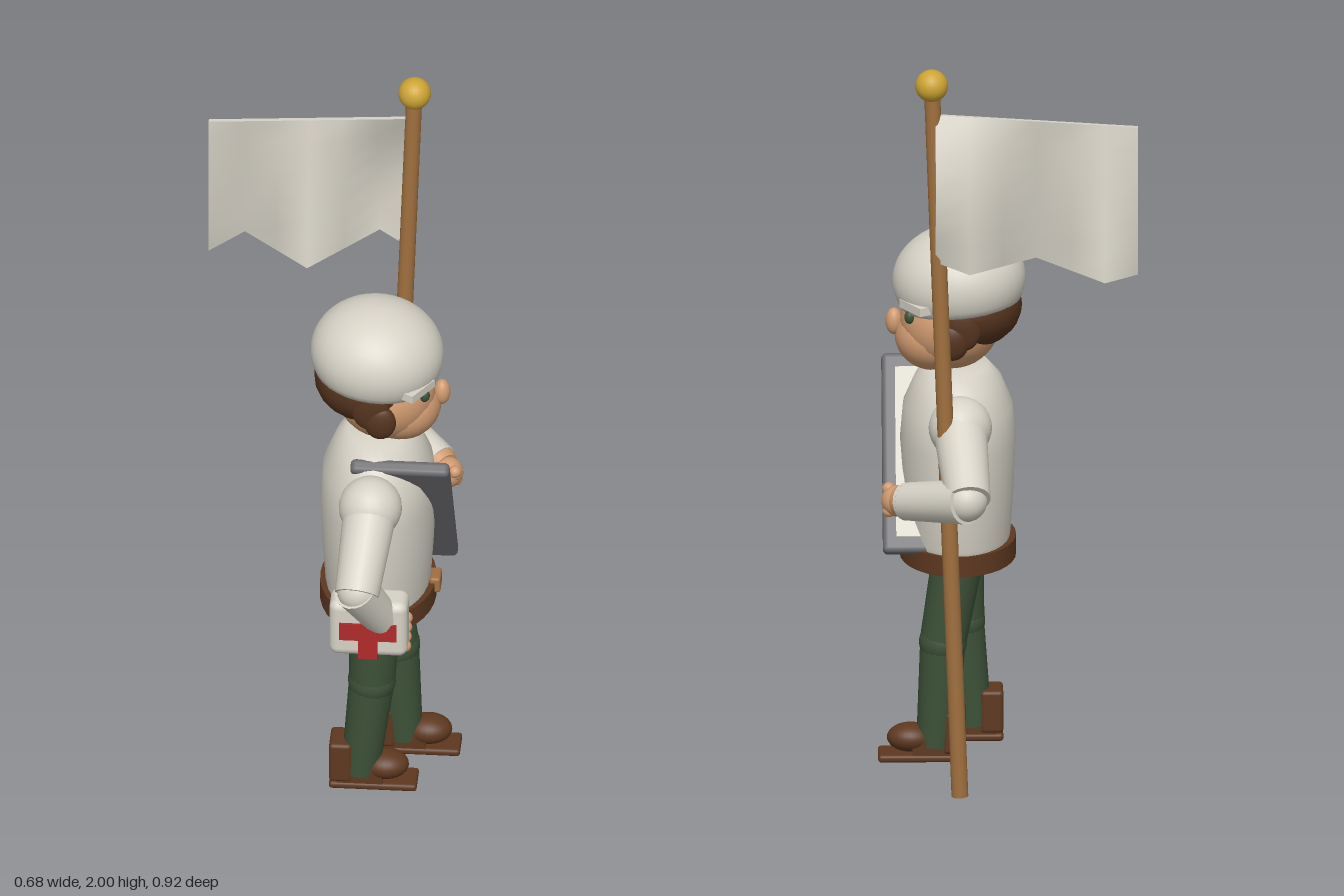
import * as THREE from 'three';
import { RoundedBoxGeometry } from 'three/addons/geometries/RoundedBoxGeometry.js';

const mat = (name, color) => Object.assign(new THREE.MeshStandardMaterial({ color }), { name });

export function createModel() {
  const white = mat('off white cloth', 0xd6d2c6);
  const skin = mat('skin', 0xcf9a70);
  const hairBrown = mat('hair brown', 0x54331e);
  const leather = mat('leather brown', 0x5e3820);
  const green = mat('trouser green', 0x3d5138);
  const grey = mat('board grey', 0x6b6b6f);
  const wood = mat('pole wood', 0xa0703f);
  const gold = mat('gold', 0xcda434);
  const red = mat('red', 0xb02a2a);

  const model = new THREE.Group();
  model.name = 'flagBearer';
  const V = (p) => new THREE.Vector3(...p);
  const add = (name, geometry, material, pos = [0, 0, 0]) => {
    const m = new THREE.Mesh(geometry, material);
    m.name = name;
    m.position.set(...pos);
    model.add(m);
    return m;
  };
  const ball = (name, material, pos, r) => {
    const m = add(name, new THREE.SphereGeometry(1, 24, 16), material, pos);
    m.scale.set(...(Array.isArray(r) ? r : [r, r, r]));
    return m;
  };
  const box = (name, material, pos, size) => add(name, new THREE.BoxGeometry(...size), material, pos);
  // tapered cylinder from a (radius ra) to b (radius rb)
  const limb = (name, material, a, b, ra, rb) => {
    const d = V(b).sub(V(a));
    const m = add(name, new THREE.CylinderGeometry(rb, ra, d.length(), 20), material);
    m.position.copy(V(a)).addScaledVector(d, 0.5);
    m.quaternion.setFromUnitVectors(new THREE.Vector3(0, 1, 0), d.normalize());
    return m;
  };
  const CZ = 0.005; // body centre line

  // Flag pole
  limb('flagPole', wood, [0.129, 0, -0.28], [0.202, 1.95, -0.28], 0.022, 0.021);
  ball('poleFinial', gold, [0.203, 1.957, -0.28], 0.043);

  // Flag: thin sheet whose folds deepen toward the hem
  const w = 0.53, h = 0.405;
  const flagGeo = new THREE.BoxGeometry(w, h, 0.012, 6, 6, 1);
  const p = flagGeo.attributes.position;
  for (let i = 0; i < p.count; i++) {
    const u = 0.5 - p.getX(i) / w, v = 0.5 - p.getY(i) / h;
    const fold = -0.09 * Math.sin(3 * Math.PI * u) * v;
    const bow = -0.062 * Math.sin(Math.PI * v) * (1 - u) ** 5;
    p.setXYZ(i, 0.193 - u * w, 1.878 - v * h - u * 0.036, p.getZ(i) - 0.282 + fold + bow);
  }
  flagGeo.computeVertexNormals();
  add('flag', flagGeo, white);

  // Torso
  const profile = [[0, 0.565], [0.13, 0.565], [0.185, 0.59], [0.2, 0.64], [0.211, 0.76], [0.219, 0.9],
    [0.208, 0.99], [0.165, 1.06], [0.115, 1.1], [0, 1.105]].map(([x, y]) => new THREE.Vector2(x, y));
  add('torso', new THREE.LatheGeometry(profile, 32), white, [0.13, 0, CZ]).scale.x = 0.69;

  // Belt and buckle
  const belt = add('belt', new THREE.CylinderGeometry(0.203, 0.203, 0.055, 32), leather, [0.13, 0.602, CZ]);
  belt.scale.x = 0.75;
  add('beltBuckle', new RoundedBoxGeometry(0.03, 0.045, 0.06, 2, 0.008), wood, [0.28, 0.622, CZ]);

  // Legs and shoes, the left one a step ahead
  for (const [side, z, ankle] of [['right', 0.092, 0.09], ['left', -0.082, 0.19]]) {
    const hip = [0.13, 0.6, z], knee = [0.12 + (ankle - 0.09) * 0.5, 0.36, z];
    limb(side + 'Thigh', green, hip, knee, 0.068, 0.061);
    ball(side + 'Knee', green, knee, 0.063);
    limb(side + 'Shin', green, knee, [ankle, 0.08, z], 0.06, 0.05);
    const back = ankle - 0.08;
    add(side + 'ShoeHeel', new RoundedBoxGeometry(0.06, 0.115, 0.095, 2, 0.01), leather, [back + 0.03, 0.12, z]);
    ball(side + 'ShoeToe', leather, [back + 0.145, 0.098, z], [0.062, 0.038, 0.05]);
    box(side + 'ShoeUpper', leather, [back + 0.08, 0.075, z], [0.12, 0.05, 0.085]);
    add(side + 'ShoeSole', new RoundedBoxGeometry(0.23, 0.02, 0.092, 2, 0.008), leather, [back + 0.115, 0.05, z]);
  }

  // Head
  ball('face', skin, [0.15, 1.215, CZ], [0.132, 0.125, 0.137]);
  ball('jaw', skin, [0.19, 1.175, CZ], [0.105, 0.09, 0.112]);
  ball('nose', skin, [0.297, 1.215, CZ], [0.022, 0.036, 0.024]);
  ball('hair', hairBrown, [0.105, 1.26, CZ], [0.143, 0.112, 0.15]);
  for (const s of [1, -1]) {
    ball('ear', hairBrown, [0.145, 1.2, CZ + s * 0.137], [0.042, 0.05, 0.022]);
    ball('sideburn', hairBrown, [0.12, 1.235, CZ + s * 0.135], [0.05, 0.06, 0.018]);
    ball('eye', green, [0.257, 1.25, CZ + s * 0.076], [0.014, 0.018, 0.014]);
    const brow = box('capPeak', white, [0.232, 1.288, CZ + s * 0.1], [0.06, 0.022, 0.1]);
    brow.rotation.y = s * -0.55;
  }

  // Cap: most of an ellipsoid, closed below and tipped slightly forward
  const cut = 2.03, capPoints = [new THREE.Vector2(0, Math.cos(cut))];
  for (let i = 0; i <= 16; i++) {
    const a = cut * (1 - i / 16);
    capPoints.push(new THREE.Vector2(Math.sin(a), Math.cos(a)));
  }
  const cap = add('cap', new THREE.LatheGeometry(capPoints, 32), white, [0.127, 1.332, CZ]);
  cap.scale.set(0.175, 0.143, 0.17);
  cap.rotation.z = -0.1;

  // Right arm, bent down to the kit box
  ball('rightShoulder', white, [0.127, 0.995, 0.235], 0.083);
  limb('rightUpperArm', white, [0.127, 0.99, 0.25], [0.105, 0.835, 0.41], 0.07, 0.058);
  ball('rightElbow', white, [0.107, 0.84, 0.398], 0.055);
  limb('rightForearm', white, [0.1, 0.85, 0.405], [0.18, 0.67, 0.3], 0.058, 0.045);
  ball('rightHand', skin, [0.192, 0.635, 0.275], 0.04);
  // Left arm, bent forward
  ball('leftShoulder', white, [0.127, 0.995, -0.222], 0.083);
  limb('leftUpperArm', white, [0.127, 0.99, -0.24], [0.11, 0.86, -0.415], 0.07, 0.06);
  ball('leftElbow', white, [0.115, 0.855, -0.405], 0.056);
  limb('leftForearm', white, [0.115, 0.855, -0.415], [0.27, 0.808, -0.268], 0.06, 0.05);
  limb('leftWrist', skin, [0.262, 0.811, -0.276], [0.285, 0.805, -0.252], 0.05, 0.04);
  ball('leftHand', skin, [0.293, 0.8, -0.238], 0.041);
  for (let i = 0; i < 4; i++) {
    ball('rightFinger', skin, [0.222, 0.605 + i * 0.018, 0.295 - i * 0.017], 0.017);
    ball('leftFinger', skin, [0.314, 0.775 + i * 0.016, -0.245 + i * 0.013], 0.017);
  }

  // Kit box with red marking
  add('kitBox', new RoundedBoxGeometry(0.205, 0.165, 0.095, 3, 0.024), white, [0.13, 0.686, 0.31]);
  box('kitBarAcross', red, [0.13, 0.685, 0.36], [0.15, 0.05, 0.009]);
  box('kitBarDown', red, [0.13, 0.656, 0.36], [0.05, 0.105, 0.0095]);

  // Slanted board with a pale sheet across the chest
  const board = add('board', new RoundedBoxGeometry(0.26, 0.54, 0.04, 3, 0.014), grey, [0.198, 0.847, 0.008]);
  board.rotation.x = 0.575;
  const sheet = new THREE.Mesh(new THREE.BoxGeometry(0.19, 0.46, 0.006), white);
  sheet.name = 'boardSheet';
  sheet.position.set(0, 0, -0.022);
  board.add(sheet);

  return model;
}
